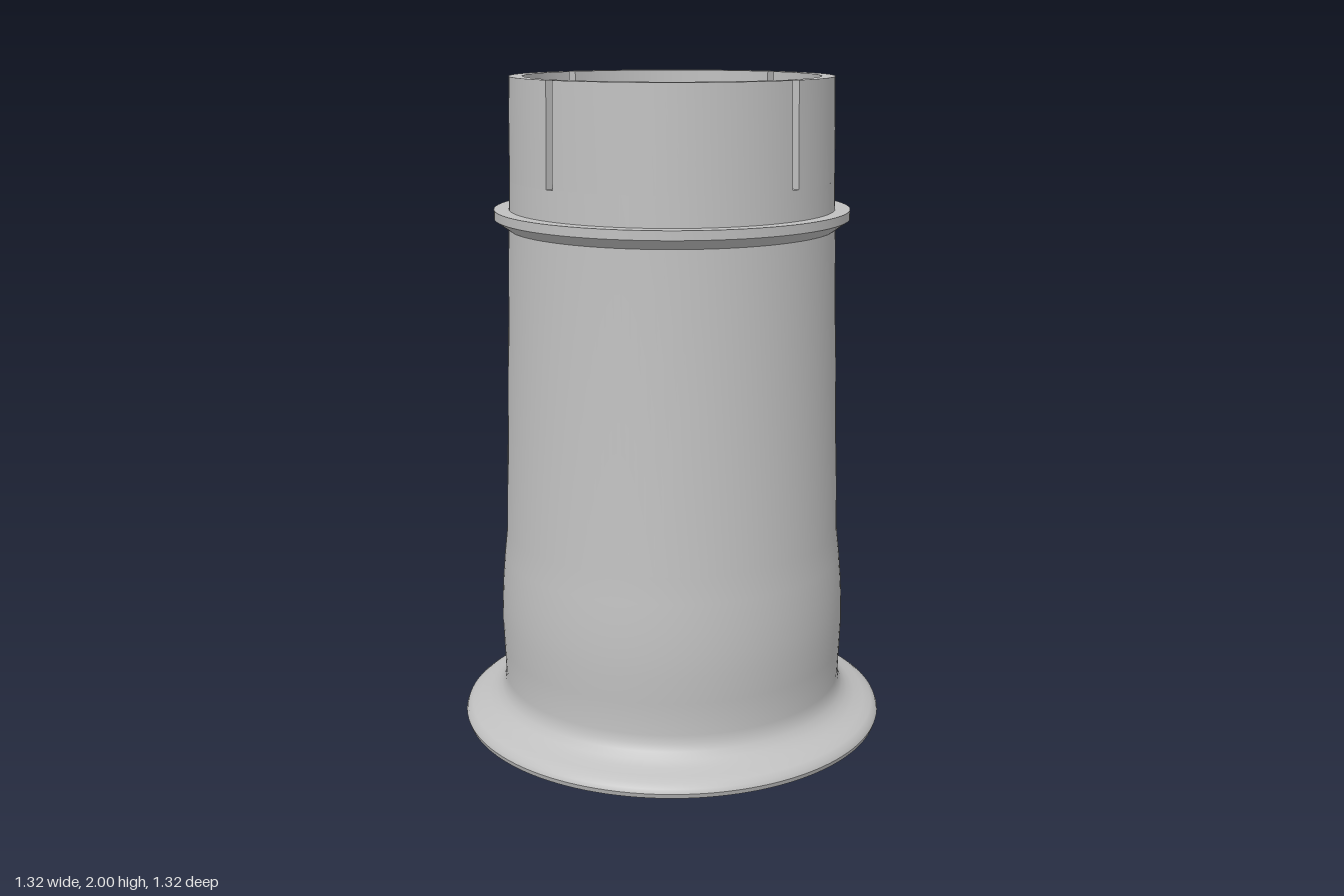
import * as THREE from 'three';
import { mergeGeometries, toCreasedNormals } from 'three/addons/utils/BufferGeometryUtils.js';

const grey = new THREE.MeshStandardMaterial({ color: 0xc0c0c0, side: THREE.DoubleSide });
grey.name = 'plain grey';

const points = (list) => list.map(([r, y]) => new THREE.Vector2(r, y));

// Sharp-edged lathe from a closed (radius, height) profile
function turned(profile, segments, start = 0, length = Math.PI * 2) {
  const ring = points([...profile, profile[0]]);
  return toCreasedNormals(new THREE.LatheGeometry(ring, segments, start, length), 0.6);
}

function part(name, geometry) {
  const mesh = new THREE.Mesh(geometry, grey);
  mesh.name = name;
  return mesh;
}

// Hexagonal mesh of thin upright bars, clipped to a circle
function honeycomb(radius, pitch, thick, depth, turn) {
  const bars = [];
  const half = pitch / Math.sqrt(3) / 2;
  for (let row = -6; row <= 6; row++) {
    for (let col = -6; col <= 6; col++) {
      const cx = (col + (Math.abs(row) % 2) / 2) * pitch;
      const cz = row * pitch * Math.sqrt(3) / 2;
      for (let k = 0; k < 3; k++) {
        const a = k * Math.PI / 3;
        const mid = new THREE.Vector2(cx + Math.cos(a) * pitch / 2, cz + Math.sin(a) * pitch / 2);
        const along = new THREE.Vector2(-Math.sin(a), Math.cos(a)).multiplyScalar(half);
        let p = mid.clone().sub(along);
        let q = mid.clone().add(along);
        if (p.length() > q.length()) [p, q] = [q, p];
        if (p.length() > radius) continue;
        while (q.length() > radius) q.lerp(p, 0.1);
        const bar = new THREE.BoxGeometry(p.distanceTo(q), depth, thick);
        bar.rotateY(-Math.atan2(q.y - p.y, q.x - p.x));
        bar.translate((p.x + q.x) / 2, 0, (p.y + q.y) / 2);
        bars.push(bar);
      }
    }
  }
  return mergeGeometries(bars).rotateY(-turn);
}

export function createModel() {
  const model = new THREE.Group();
  model.name = 'flared pipe fitting';

  // Hollow body: flared foot, gentle belly, tapering tube
  model.add(part('body', turned([
    [0.64, 0], [0.655, 0.005], [0.66, 0.02], [0.655, 0.033], [0.64, 0.044], [0.615, 0.054],
    [0.585, 0.064], [0.562, 0.078], [0.545, 0.095], [0.535, 0.115], [0.531, 0.14],
    [0.535, 0.24], [0.538, 0.32], [0.537, 0.39], [0.533, 0.46], [0.526, 0.54], [0.517, 0.62],
    [0.49, 1.56], [0.486, 1.7], [0.442, 1.7], [0.45, 1.55], [0.475, 0.62], [0.487, 0.52],
    [0.495, 0.4], [0.497, 0.28], [0.492, 0.15], [0.5, 0.105], [0.516, 0.075], [0.545, 0.05],
    [0.58, 0.036], [0.61, 0.026], [0.627, 0.012],
  ], 128)));

  // Stop collar with a sloping underside
  model.add(part('collar', turned([
    [0.48, 1.555], [0.492, 1.555], [0.533, 1.585], [0.533, 1.612], [0.48, 1.612],
  ], 128)));

  // Four spring tabs separated by narrow slots
  const tab = [[0.486, 1.7], [0.48, 2], [0.44, 2], [0.442, 1.7]];
  const gap = 0.027;
  for (let i = 0; i < 4; i++) {
    const start = i * Math.PI / 2 + gap;
    const length = Math.PI / 2 - 2 * gap;
    const tabGroup = new THREE.Group();
    tabGroup.name = 'springTab' + (i + 1);
    tabGroup.add(part('tabWall', turned(tab, 32, start, length)));
    for (const angle of [start, start + length]) {
      const end = part('slotFace', new THREE.ShapeGeometry(new THREE.Shape(points(tab))));
      end.rotation.y = angle - Math.PI / 2;
      tabGroup.add(end);
    }
    model.add(tabGroup);
  }

  // Honeycomb screen just above the foot
  const screen = part('honeycombScreen', honeycomb(0.505, 0.118, 0.017, 0.08, 0.22));
  screen.position.y = 0.15;
  model.add(screen);

  return model;
}
